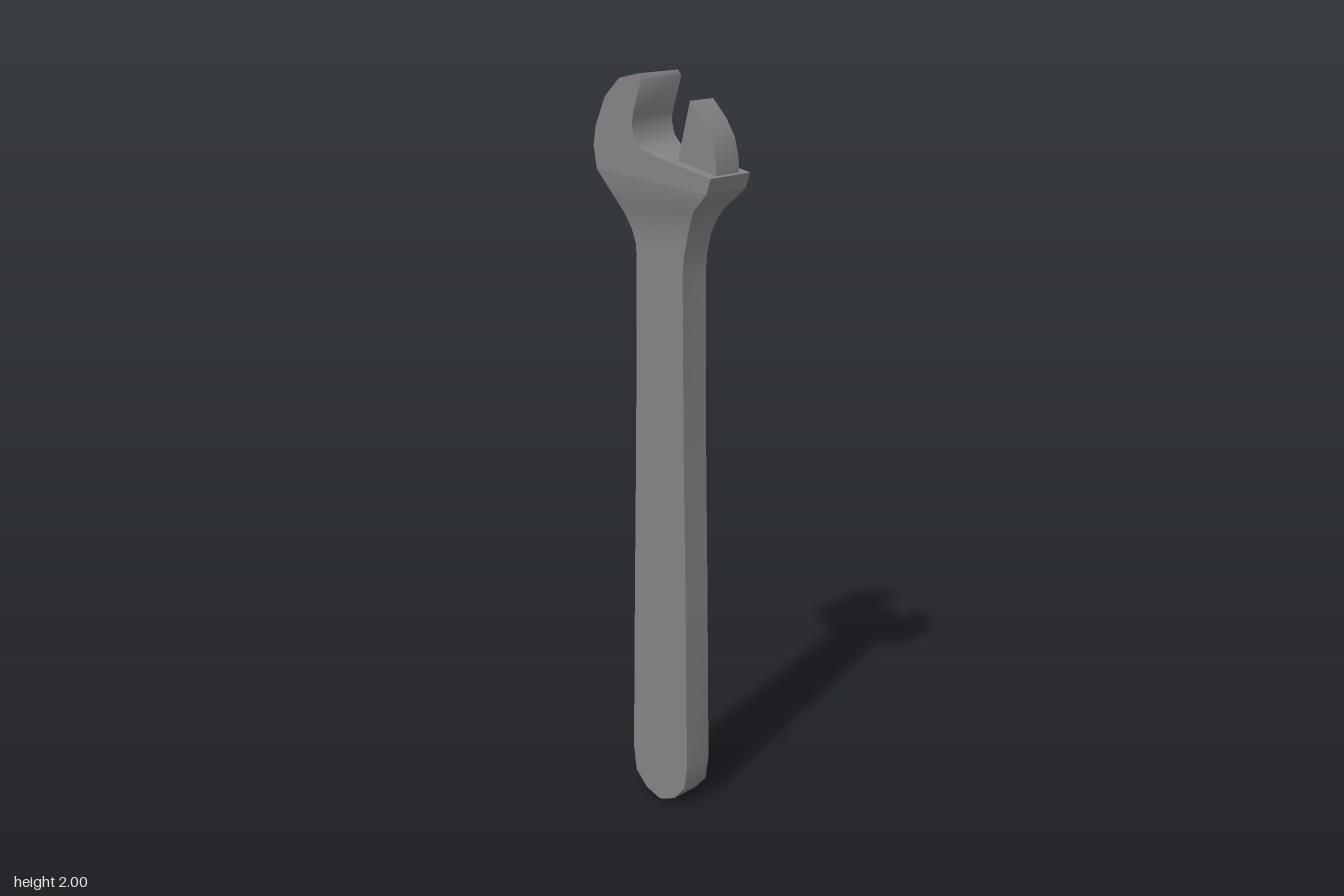
import * as THREE from 'three';
import { toCreasedNormals } from 'three/addons/utils/BufferGeometryUtils.js';

const HEAD = 0.076, JAW = 0.044, GRIP = 0.045, CREASE = 0.9;

// Flat plate of half thickness h, centred on z = 0
function plate(points, h) {
  const shape = new THREE.Shape(points.map(([x, y]) => new THREE.Vector2(x, y)));
  const geo = new THREE.ExtrudeGeometry(shape, { depth: 2 * h, bevelEnabled: false });
  geo.translate(0, 0, -h);
  return toCreasedNormals(geo, CREASE);
}

// Loft of four-cornered sections: [left x, left y, right x, right y, half thickness]
function loft(rows) {
  const pos = [];
  const corners = ([xl, yl, xr, yr, h]) =>
    [[xl, yl, h], [xr, yr, h], [xr, yr, -h], [xl, yl, -h]];
  const quad = (a, b, c, d) => pos.push(...a, ...b, ...c, ...a, ...c, ...d);
  for (let i = 0; i < rows.length - 1; i++) {
    const lo = corners(rows[i]), hi = corners(rows[i + 1]);
    for (let k = 0; k < 4; k++) {
      const n = (k + 1) % 4;
      quad(lo[k], lo[n], hi[n], hi[k]);
    }
  }
  const b = corners(rows[0]);
  quad(b[3], b[2], b[1], b[0]);
  const geo = new THREE.BufferGeometry();
  geo.setAttribute('position', new THREE.Float32BufferAttribute(pos, 3));
  return toCreasedNormals(geo, CREASE);
}

export function createModel() {
  const group = new THREE.Group();
  group.name = 'adjustableWrench';
  const steel = new THREE.MeshStandardMaterial({ color: 0x858285 });
  steel.name = 'steel grey';
  const add = (name, geo) => {
    const mesh = new THREE.Mesh(geo, steel);
    mesh.name = name;
    group.add(mesh);
  };

  // Handle with rounded butt, flaring and thickening into the head
  const grip = [[0.004, 0], [0.052, 0.018], [0.09, 0.06], [0.1, 0.13],
    [0.093, 0.6], [0.085, 1.02], [0.08, 1.5]];
  add('handle', loft([
    ...grip.map(([w, y]) => [-w, y, w, y, GRIP]),
    [-0.081, 1.56, 0.085, 1.55, GRIP],
    [-0.095, 1.6, 0.097, 1.6, 0.046],
    [-0.114, 1.64, 0.113, 1.64, 0.053],
    [-0.135, 1.675, 0.132, 1.67, 0.063],
    [-0.163, 1.715, 0.162, 1.697, 0.072],
    [-0.19, 1.75, 0.185, 1.72, HEAD],
  ]));

  // Head with the fixed hooked jaw and sloping slide
  add('fixedJaw', plate([
    [-0.19, 1.75], [0.185, 1.72], [0.199, 1.76],
    [0.01, 1.8], [-0.035, 1.813], [-0.056, 1.835], [-0.065, 1.87],
    [-0.062, 1.895], [-0.033, 1.985], [-0.043, 2],
    [-0.108, 1.985], [-0.158, 1.937], [-0.192, 1.86], [-0.2, 1.81],
  ], HEAD));

  // Narrower sliding jaw resting on the slide
  add('slidingJaw', plate([
    [0.062, 1.785], [0.189, 1.758], [0.187, 1.8], [0.174, 1.85],
    [0.147, 1.893], [0.102, 1.94],
  ], JAW));

  return group;
}
